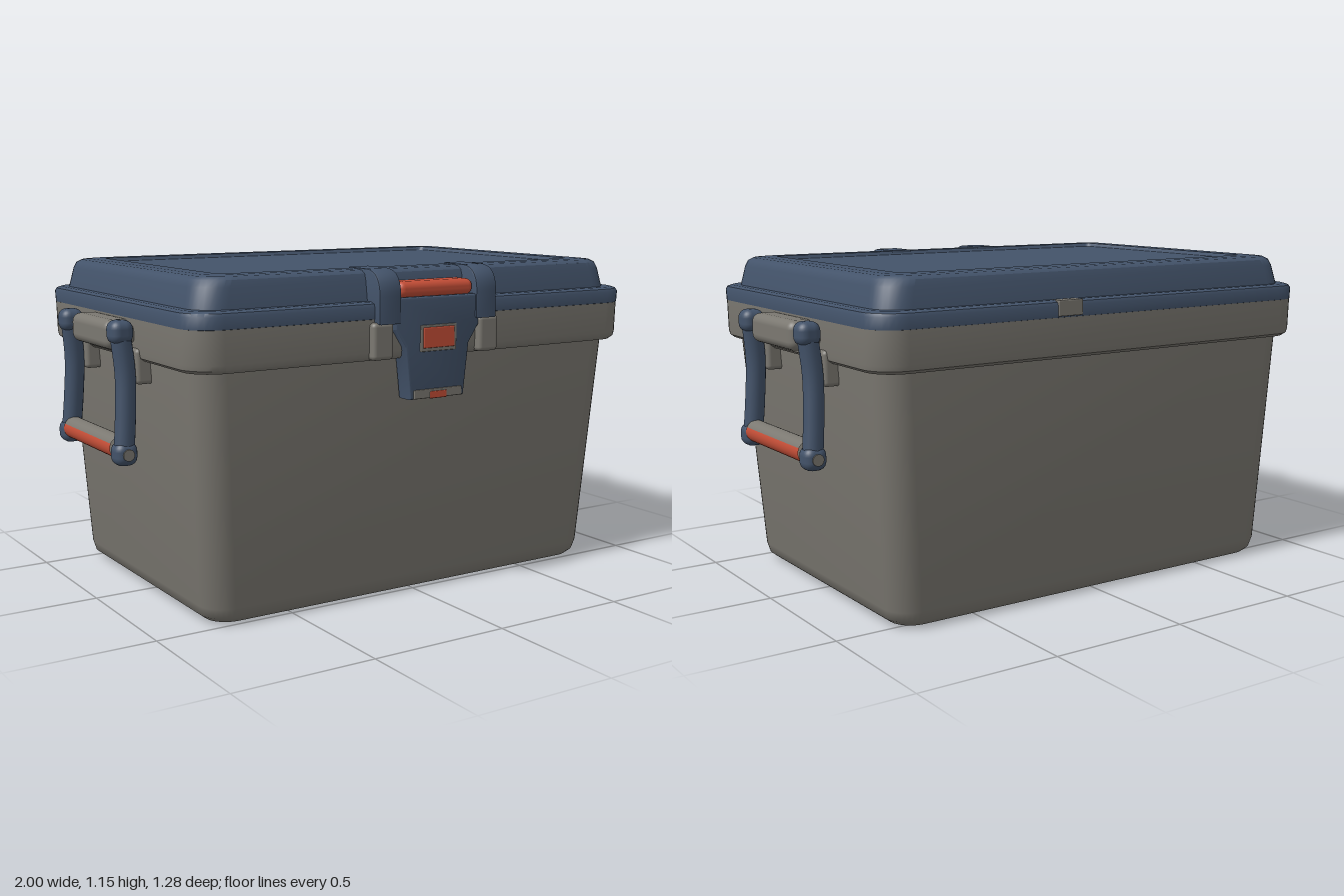
import * as THREE from 'three';
import { toCreasedNormals } from 'three/addons/utils/BufferGeometryUtils.js';
import { RoundedBoxGeometry } from 'three/addons/geometries/RoundedBoxGeometry.js';

const paint = (name, color) => {
  const m = new THREE.MeshStandardMaterial({ color });
  m.name = name;
  return m;
};

export function createModel() {
  const grey = paint('warm grey', 0x7b7871);
  const blue = paint('slate blue', 0x43536a);
  const red = paint('brick red', 0xc44e37);
  const root = new THREE.Group();
  root.name = 'coolBox';

  const add = (name, geo, mat, parent = root) => {
    const m = new THREE.Mesh(geo, mat);
    m.name = name;
    parent.add(m);
    return m;
  };

  // Box from min/max corners with rounded edges
  const block = (name, mat, [x0, x1], [y0, y1], [z0, z1], r, parent = root) => {
    const g = new RoundedBoxGeometry(x1 - x0, y1 - y0, z1 - z0, 3, r);
    g.translate((x0 + x1) / 2, (y0 + y1) / 2, (z0 + z1) / 2);
    return add(name, g, mat, parent);
  };

  // Stack of rounded rectangles, each [y, half width, back z, front z, corner radius]
  const loft = (rings) => {
    const pos = [], idx = [], K = 8, N = 4 * (K + 1);
    for (const [y, hx, zb, zf, r] of rings) {
      const cz = (zb + zf) / 2, hz = (zf - zb) / 2;
      for (let q = 0; q < 4; q++) {
        const sx = q === 0 || q === 3 ? 1 : -1, sz = q < 2 ? 1 : -1;
        for (let k = 0; k <= K; k++) {
          const a = (q + k / K) * Math.PI / 2;
          pos.push(sx * (hx - r) + r * Math.cos(a), y, cz + sz * (hz - r) + r * Math.sin(a));
        }
      }
    }
    const last = rings.length - 1, c0 = pos.length / 3, c1 = c0 + 1;
    for (const [y, , zb, zf] of [rings[0], rings[last]]) pos.push(0, y, (zb + zf) / 2);
    for (let j = 0; j < N; j++) {
      const n = (j + 1) % N;
      for (let i = 0; i < last; i++) {
        const a = i * N + j, b = i * N + n;
        idx.push(a, a + N, b, b, a + N, b + N);
      }
      idx.push(c0, j, n, c1, last * N + n, last * N + j);
    }
    const g = new THREE.BufferGeometry();
    g.setAttribute('position', new THREE.Float32BufferAttribute(pos, 3));
    g.setIndex(idx);
    return toCreasedNormals(g, 0.7);
  };

  // Tapered tub with soft bottom edge
  add('tub', loft([
    [0.005, 0.745, -0.505, 0.455, 0.06],
    [0.012, 0.78, -0.54, 0.49, 0.08],
    [0.03, 0.803, -0.557, 0.508, 0.09],
    [0.065, 0.812, -0.565, 0.516, 0.09],
    [0.88, 0.868, -0.595, 0.565, 0.1],
  ]), grey);

  // Rim band under the lid
  add('rim', loft([
    [0.857, 0.85, -0.58, 0.55, 0.09],
    [0.857, 0.885, -0.615, 0.59, 0.1],
    [0.868, 0.9, -0.63, 0.603, 0.11],
    [0.885, 0.903, -0.633, 0.606, 0.11],
    [0.997, 0.905, -0.635, 0.608, 0.11],
  ]), grey);

  // Lid: flange, raised top and sunken panel
  add('lid', loft([
    [0.99, 0.89, -0.62, 0.595, 0.1],
    [0.996, 0.905, -0.636, 0.61, 0.11],
    [1.035, 0.907, -0.637, 0.611, 0.11],
    [1.046, 0.902, -0.632, 0.606, 0.11],
    [1.052, 0.885, -0.615, 0.59, 0.1],
    [1.052, 0.862, -0.598, 0.566, 0.1],
    [1.12, 0.847, -0.586, 0.556, 0.1],
    [1.142, 0.838, -0.578, 0.549, 0.1],
    [1.152, 0.82, -0.56, 0.532, 0.09],
    [1.155, 0.79, -0.53, 0.502, 0.07],
    [1.155, 0.735, -0.475, 0.452, 0.02],
    [1.142, 0.728, -0.468, 0.445, 0.018],
  ]), blue);

  // Latch brackets curling over the lid edge, with grey feet on the rim
  const bracket = new THREE.Shape();
  bracket.moveTo(0.455, 1.12);
  bracket.lineTo(0.455, 1.153);
  bracket.lineTo(0.56, 1.153);
  bracket.quadraticCurveTo(0.633, 1.15, 0.633, 1.07);
  bracket.lineTo(0.633, 0.985);
  bracket.lineTo(0.54, 0.985);
  for (const s of [-1, 1]) {
    const g = new THREE.ExtrudeGeometry(bracket, {
      depth: 0.075, bevelEnabled: true, bevelSize: 0.006, bevelThickness: 0.006, bevelSegments: 2, curveSegments: 10,
    });
    g.rotateY(-Math.PI / 2);
    g.translate(s * 0.2 + 0.0375, 0, 0);
    add('latchBracket', toCreasedNormals(g, 0.6), blue);
    block('latchFoot', grey, [s * 0.22 - 0.042, s * 0.22 + 0.042], [0.86, 0.985], [0.56, 0.632], 0.015);
  }

  // Latch hinge bar
  block('latchBar', red, [-0.155, 0.155], [1.06, 1.115], [0.535, 0.628], 0.024);

  // Tapered latch plate
  const plate = new THREE.Shape([
    [-0.165, 1.055], [-0.165, 0.96], [-0.125, 0.9], [-0.105, 0.725],
    [0.105, 0.725], [0.125, 0.9], [0.165, 0.96], [0.165, 1.055],
  ].map(([x, y]) => new THREE.Vector2(x, y)));
  const plateGeo = new THREE.ExtrudeGeometry(plate, {
    depth: 0.055, bevelEnabled: true, bevelSize: 0.008, bevelThickness: 0.008, bevelSegments: 3,
  });
  plateGeo.translate(0, 0, 0.57);
  add('latchPlate', toCreasedNormals(plateGeo, 0.6), blue);
  block('buttonSurround', grey, [-0.075, 0.075], [0.878, 0.968], [0.629, 0.637], 0.003);
  block('latchButton', red, [-0.065, 0.065], [0.89, 0.96], [0.632, 0.641], 0.004);
  block('latchLip', grey, [-0.1, 0.1], [0.719, 0.75], [0.63, 0.638], 0.003);
  block('lipMark', red, [-0.035, 0.035], [0.717, 0.742], [0.632, 0.64], 0.003);

  // Small catch at the back of the lid
  block('backCatch', grey, [0.135, 0.235], [1.0, 1.053], [-0.641, -0.6], 0.004);

  // Swinging side handles
  for (const s of [-1, 1]) {
    const handle = new THREE.Group();
    handle.name = s > 0 ? 'leftHandle' : 'rightHandle';
    root.add(handle);
    const span = (a, b) => (s > 0 ? [a, b] : [-b, -a]);

    // Grey mount between the arms
    block('handleMount', grey, span(0.88, 0.985), [0.89, 0.99], [-0.195, 0.13], 0.03, handle);
    block('handleAxle', grey, span(0.89, 0.965), [0.915, 0.975], [-0.25, 0.17], 0.02, handle);

    for (const [zTop, zLow, out] of [[0.178, 0.19, 1], [-0.262, -0.285, -1]]) {
      const path = new THREE.CatmullRomCurve3([
        new THREE.Vector3(s * 0.958, 0.96, zTop),
        new THREE.Vector3(s * 0.945, 0.82, zTop + (zLow - zTop) * 0.35),
        new THREE.Vector3(s * 0.95, 0.68, zTop + (zLow - zTop) * 0.7),
        new THREE.Vector3(s * 0.96, 0.555, zLow),
      ]);
      add('handleArm', new THREE.TubeGeometry(path, 16, 0.035, 14), blue, handle);
      for (const [x, y, z] of [[0.958, 0.957, zTop], [0.96, 0.553, zLow]]) {
        block('armKnuckle', blue, span(x - 0.04, x + 0.04), [y - 0.04, y + 0.04], [z - 0.04, z + 0.04], 0.03, handle);
      }
      const pin = new THREE.CylinderGeometry(0.02, 0.02, 0.008, 18);
      pin.rotateX(Math.PI / 2);
      pin.translate(s * 0.96, 0.553, zLow + out * 0.039);
      add('gripPin', pin, grey, handle);
      block('handleLug', grey, span(0.84, 0.915), [0.78, 0.9], [zTop - 0.03, zTop + 0.03], 0.015, handle);
    }

    // Grip: red below and outside, grey strip along the top
    const zMid = -0.0475, len = 0.42;
    const arc = (name, start, sweep, mat) => {
      const g = new THREE.CylinderGeometry(0.039, 0.039, len, 20, 1, true, start, sweep);
      g.rotateX(Math.PI / 2);
      g.translate(s * 0.96, 0.568, zMid);
      add(name, g, mat, handle);
    };
    arc('gripTop', Math.PI * 0.64, Math.PI * 0.72, grey);
    arc('grip', Math.PI * 1.36, Math.PI * 1.28, red);
  }

  return root;
}
